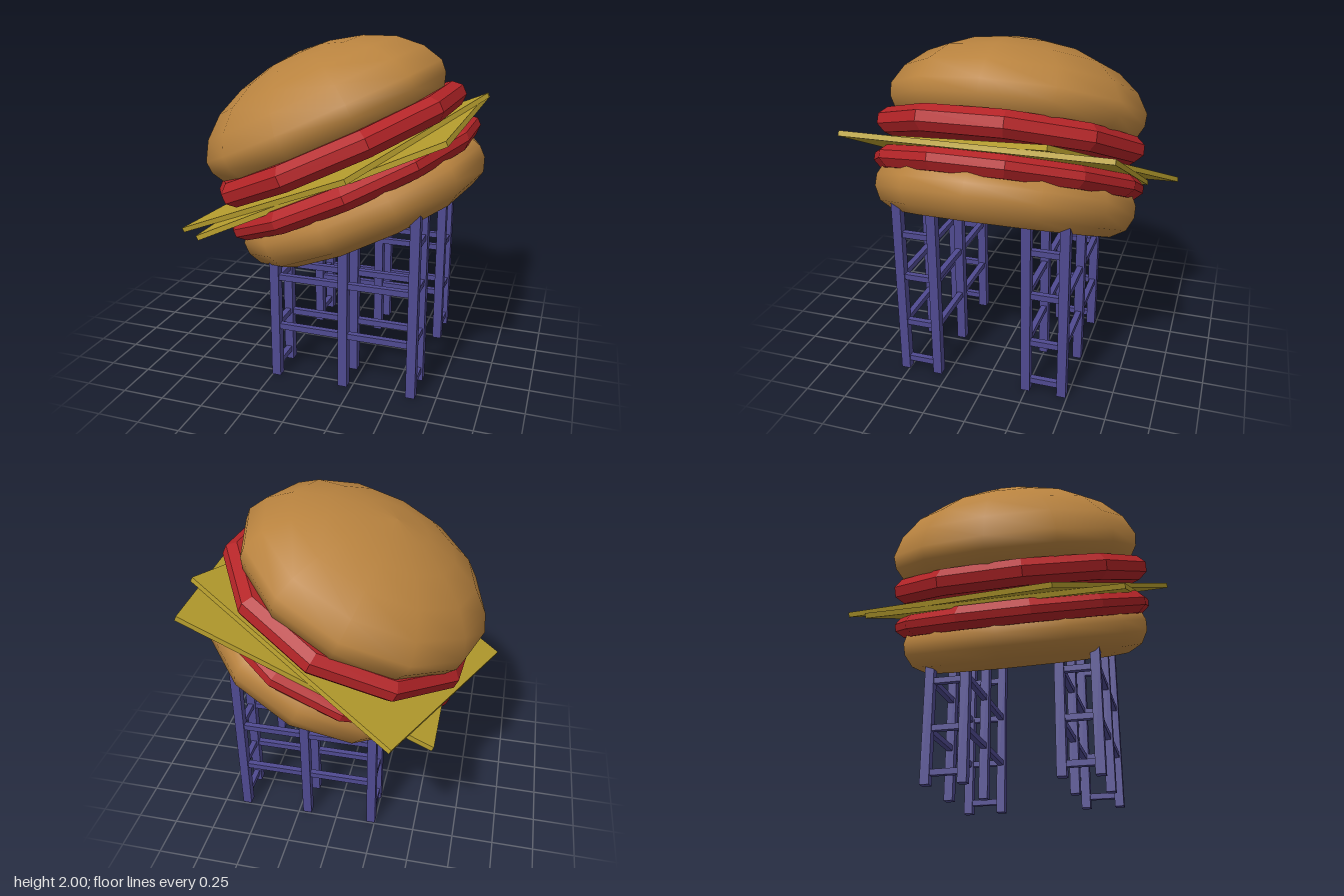
import * as THREE from 'three';

const TILT = THREE.MathUtils.degToRad(25);

function paint(name, color, flatShading = false) {
  const m = new THREE.MeshStandardMaterial({ color, flatShading });
  m.name = name;
  return m;
}

export function createModel() {
  const bread = paint('toasted bread', 0xb9833f);
  const red = paint('red filling', 0xb42427, true);
  const yellow = paint('yellow cheese', 0xb89f2e, true);
  const steel = paint('violet frame', 0x4f4a91, true);

  const model = new THREE.Group();
  model.name = 'burgerTower';

  function add(parent, name, geometry, material, x, y, z) {
    const mesh = new THREE.Mesh(geometry, material);
    mesh.name = name;
    mesh.position.set(x, y, z);
    parent.add(mesh);
    return mesh;
  }
  const lathe = (profile, sides, start = 0) => new THREE.LatheGeometry(
    profile.map(([r, y]) => new THREE.Vector2(r, y)), sides,
    THREE.MathUtils.degToRad(start), Math.PI * 2);

  // Tilted burger: layers are stacked along the group's own y axis
  const burger = new THREE.Group();
  burger.name = 'burger';
  burger.rotation.z = TILT;
  model.add(burger);

  // Bottom bun with a flat, sharply creased underside
  add(burger, 'bottomBun', lathe([[0.655, 0.7], [0.745, 0.75], [0.785, 0.83],
    [0.785, 0.9], [0.755, 0.96], [0.68, 1.0], [0, 1.01]], 12), bread, 0.577, 0, 0.02);
  add(burger, 'bottomBunBase', lathe([[0, 0.7], [0.655, 0.7]], 12), bread, 0.577, 0, 0.02);

  // Bevelled red slices
  const slice = (r, low, high) => [[0, low], [r - 0.05, low], [r, low + 0.045],
    [r, high - 0.045], [r - 0.05, high], [0, high]];
  add(burger, 'lowerSlice', lathe(slice(0.825, 0.94, 1.075), 12, 15), red, 0.57, 0, 0.025);
  add(burger, 'upperSlice', lathe(slice(0.815, 1.145, 1.295), 10, 31), red, 0.572, 0, 0.03);

  // Two square cheese sheets, the upper one turned
  add(burger, 'lowerCheese', new THREE.BoxGeometry(1.54, 0.03, 1.49), yellow, 0.607, 1.08, 0.005);
  add(burger, 'upperCheese', new THREE.BoxGeometry(1.464, 0.03, 1.464), yellow, 0.482, 1.11, 0)
    .rotation.y = THREE.MathUtils.degToRad(-21.7);

  // Domed top bun
  add(burger, 'topBun', lathe([[0.66, 1.265], [0.73, 1.285], [0.775, 1.365], [0.78, 1.44],
    [0.715, 1.555], [0.59, 1.665], [0.41, 1.748], [0.21, 1.8], [0, 1.82]], 12), bread, 0.565, 0, 0.015);
  add(burger, 'topBunBase', lathe([[0, 1.265], [0.66, 1.265]], 12), bread, 0.565, 0, 0.015);

  // Supporting frame of twelve legs, tops sunk into the bun
  const frame = new THREE.Group();
  frame.name = 'frame';
  model.add(frame);
  const columns = [-0.225, 0.195, 0.605];
  const rows = [0.525, 0.315, -0.245, -0.465];
  const tops = [0.74, 0.91, 1.16];
  columns.forEach((x, i) => rows.forEach((z) =>
    add(frame, 'leg', new THREE.BoxGeometry(0.055, tops[i], 0.055), steel, x, tops[i] / 2, z)));

  // Long rails joining each row of legs
  for (const z of rows) {
    for (const y of [0.325, 0.64]) {
      add(frame, 'rail', new THREE.BoxGeometry(0.83, 0.035, 0.035), steel, 0.19, y, z);
    }
  }

  // Short ladder rungs joining the paired end legs
  const rungs = [[columns[0], [0.07, 0.33, 0.62]], [columns[2], [0.07, 0.33, 0.64, 0.915]]];
  for (const [x, heights] of rungs) {
    for (const y of heights) {
      for (const z of [0.42, -0.355]) {
        add(frame, 'rung', new THREE.BoxGeometry(0.035, 0.035, 0.2), steel, x, y, z);
      }
    }
  }
  return model;
}
